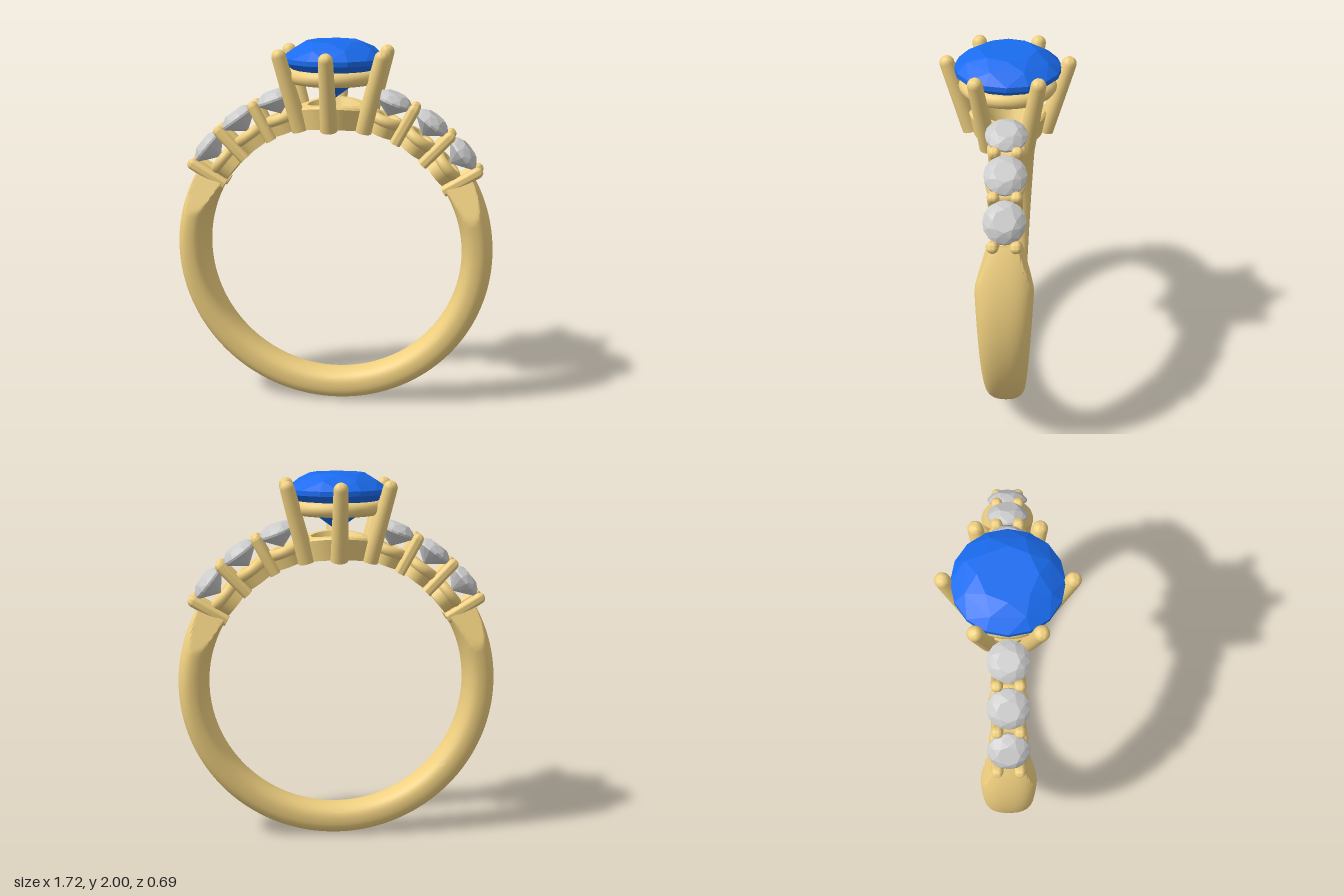
import * as THREE from 'three';
import { toCreasedNormals } from 'three/addons/utils/BufferGeometryUtils.js';
import { ConvexGeometry } from 'three/addons/geometries/ConvexGeometry.js';

const gold = new THREE.MeshStandardMaterial({ color: 0xf0d080 });
const blue = new THREE.MeshStandardMaterial({ color: 0x1a6cf0 });
const grey = new THREE.MeshStandardMaterial({ color: 0xcccccc });

const CY = 0.865, R_IN = 0.695, R_OUT = 0.86;
const rad = THREE.MathUtils.degToRad;
// Height of the finger hole's surface above a given x
const fingerY = x => CY + Math.sqrt(R_IN * R_IN - x * x);

function add(parent, name, geometry, material) {
  const mesh = new THREE.Mesh(geometry, material);
  mesh.name = name;
  parent.add(mesh);
  return mesh;
}

// Round brilliant cut with its girdle at y = 0
function brilliant(r, crown, girdle, pavilion) {
  const pts = [new THREE.Vector3(0, -pavilion, 0)];
  const ring = (n, radius, y, offset) => {
    for (let i = 0; i < n; i++) {
      const a = (i + offset) / n * Math.PI * 2;
      pts.push(new THREE.Vector3(radius * Math.cos(a), y, radius * Math.sin(a)));
    }
  };
  ring(8, r * 0.53, crown, 0);
  ring(8, r * 0.8, crown * 0.64, 0.5);
  ring(16, r, girdle / 2, 0);
  ring(16, r, -girdle / 2, 0);
  ring(8, r * 0.55, -pavilion * 0.5, 0.5);
  return new ConvexGeometry(pts);
}

// Round-tipped, slightly tapered prong between two points
function prong(parent, name, from, to, r0, r1) {
  const dir = to.clone().sub(from), len = dir.length();
  const profile = [new THREE.Vector2(0, 0), new THREE.Vector2(r0, 0)];
  for (let i = 0; i <= 6; i++) {
    const a = i / 6 * Math.PI / 2;
    profile.push(new THREE.Vector2(r1 * Math.cos(a), len - r1 + r1 * Math.sin(a)));
  }
  const mesh = add(parent, name, toCreasedNormals(new THREE.LatheGeometry(profile, 20), rad(40)), gold);
  mesh.position.copy(from);
  mesh.quaternion.setFromUnitVectors(new THREE.Vector3(0, 1, 0), dir.normalize());
}

// Open band: a rounded section that widens upward, its shoulders cut to a taper
function bandGeometry() {
  const SEG = 140, N = 40, start = rad(-211.3), end = rad(31.3);
  const pos = [], idx = [];
  const mid = (R_IN + R_OUT) / 2, half = (R_OUT - R_IN) / 2;
  const power = v => Math.sign(v) * Math.pow(Math.abs(v), 0.82);
  for (let i = 0; i <= SEG; i++) {
    const t = start + (end - start) * i / SEG;
    const width = 0.09 + 0.055 * Math.min(1, (CY + mid * Math.sin(t)) / 1.08);
    for (let j = 0; j < N; j++) {
      const a = j / N * Math.PI * 2;
      const r = mid + half * power(Math.cos(a));
      const y = CY + r * Math.sin(t);
      const cut = 0.145 - Math.max(0, y - 1.08) * 0.36;
      pos.push(r * Math.cos(t), y, THREE.MathUtils.clamp(width * power(Math.sin(a)), -cut, cut));
    }
  }
  for (let i = 0; i < SEG; i++) for (let j = 0; j < N; j++) {
    const k = (j + 1) % N, a = i * N, b = a + N;
    idx.push(a + j, b + j, a + k, b + j, b + k, a + k);
  }
  // End caps
  const c = pos.length / 3;
  for (const t of [start, end]) pos.push(mid * Math.cos(t), CY + mid * Math.sin(t), 0);
  for (let j = 0; j < N; j++) {
    const k = (j + 1) % N, last = SEG * N;
    idx.push(c, j, k, c + 1, last + k, last + j);
  }
  const g = new THREE.BufferGeometry();
  g.setAttribute('position', new THREE.Float32BufferAttribute(pos, 3));
  g.setIndex(idx);
  return toCreasedNormals(g, rad(28));
}

// Pierced head base, its underside following the finger hole
function headBaseGeometry() {
  const profile = [[0.09, 0], [0.18, 0], [0.2, 0.11], [0.19, 0.12], [0.14, 0.12], [0.09, 0]];
  const g = new THREE.LatheGeometry(profile.map(p => new THREE.Vector2(...p)), 48);
  const p = g.attributes.position;
  for (let i = 0; i < p.count; i++) p.setY(i, p.getY(i) + fingerY(p.getX(i)));
  return toCreasedNormals(g, rad(35));
}

export function createModel() {
  const model = new THREE.Group();
  model.name = 'gemRing';
  add(model, 'band', bandGeometry(), gold);

  // Centre setting
  const head = new THREE.Group();
  head.name = 'centreSetting';
  model.add(head);
  add(head, 'headBase', headBaseGeometry(), gold);
  const gallery = add(head, 'galleryRing', new THREE.TorusGeometry(0.212, 0.038, 16, 64), gold);
  gallery.rotation.x = Math.PI / 2;
  gallery.position.y = 1.82;
  const gem = add(head, 'centreGem', brilliant(0.27, 0.095, 0.025, 0.21), blue);
  gem.position.y = 1.905;
  for (let i = 0; i < 6; i++) {
    const a = rad(30 + 60 * i), c = Math.cos(a), s = Math.sin(a);
    prong(head, 'centreProng', new THREE.Vector3(0.19 * c, fingerY(0.19 * c), 0.19 * s),
      new THREE.Vector3(0.317 * c, 1.965, 0.317 * s), 0.046, 0.038);
  }

  // Accent stones with collets and paired prongs on both shoulders
  for (const side of [1, -1]) {
    const shoulder = new THREE.Group();
    shoulder.name = side > 0 ? 'leftShoulder' : 'rightShoulder';
    model.add(shoulder);
    const radialGroup = (name, degrees) => {
      const g = new THREE.Group();
      g.name = name;
      g.position.y = CY;
      g.rotation.z = side * rad(degrees - 90);
      shoulder.add(g);
      return g;
    };
    for (const angle of [39, 54, 69]) {
      const g = radialGroup('accentSetting', angle);
      add(g, 'accentStone', brilliant(0.105, 0.045, 0.012, 0.085), grey).position.y = 0.882;
      add(g, 'colletBase', new THREE.CylinderGeometry(0.085, 0.08, 0.07, 32), gold).position.y = 0.73;
      const ring = add(g, 'colletRing', new THREE.TorusGeometry(0.068, 0.03, 14, 36), gold);
      ring.rotation.x = Math.PI / 2;
      ring.position.y = 0.775;
    }
    for (const angle of [31.3, 46.5, 61.5]) {
      const g = radialGroup('prongPair', angle);
      for (const z of [-0.056, 0.056]) {
        prong(g, 'accentProng', new THREE.Vector3(0, 0.69, z), new THREE.Vector3(0, 0.925, z), 0.03, 0.03);
      }
    }
  }
  return model;
}
